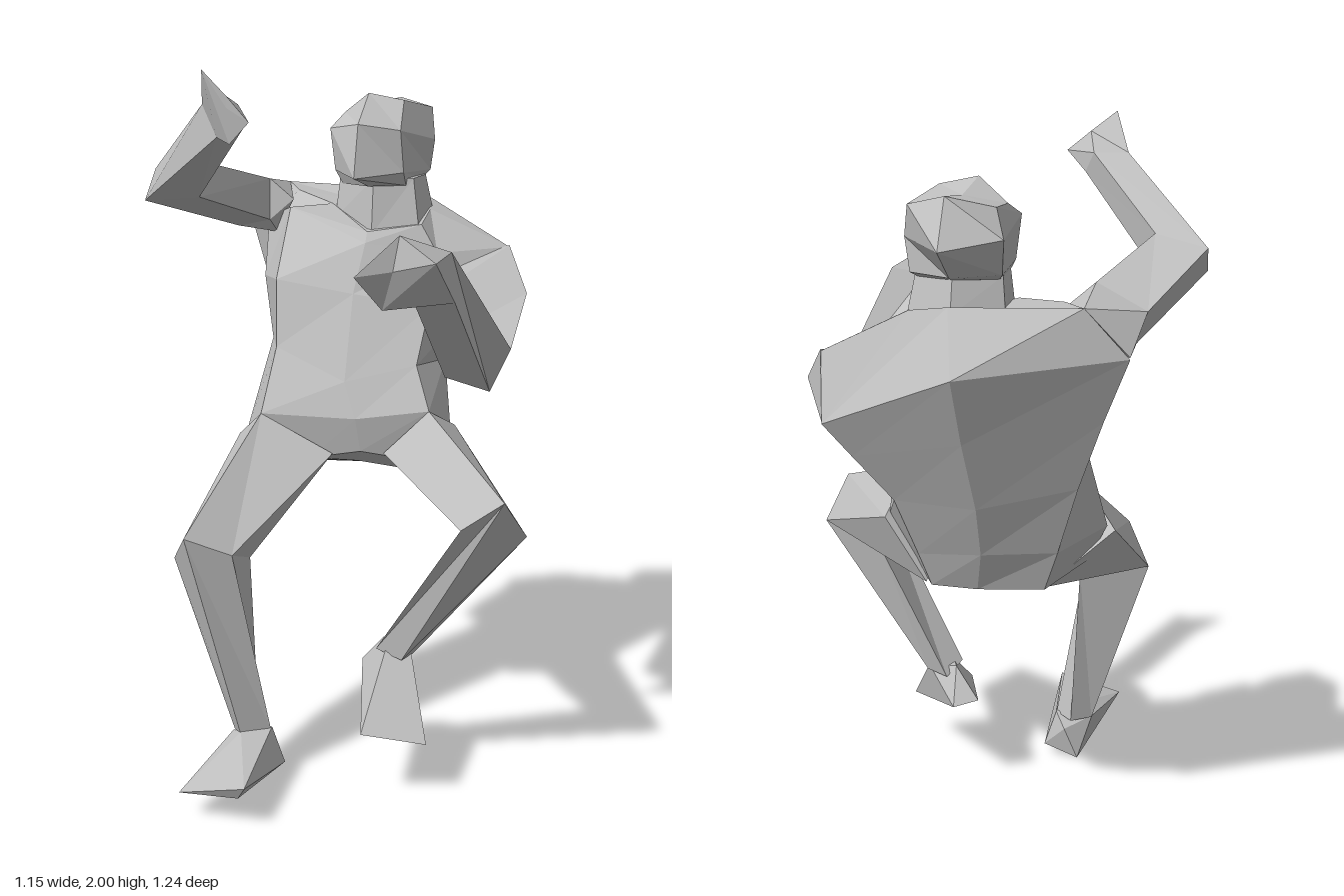
import * as THREE from 'three';
import { ConvexGeometry } from 'three/addons/geometries/ConvexGeometry.js';

// Skin a stack of cross-sections (rings of [x, y, z] corners) into a closed solid
function loft(rings) {
  const n = rings[0].length, pos = [];
  const middle = (ring) => [0, 1, 2].map((k) => ring.reduce((s, p) => s + p[k], 0) / n);
  const first = middle(rings[0]), last = middle(rings[rings.length - 1]);
  let tris = [];
  for (let i = 0; i < n; i++) {
    const j = (i + 1) % n;
    for (let r = 0; r < rings.length - 1; r++) {
      const a = rings[r], b = rings[r + 1];
      tris.push([a[i], b[i], a[j]], [a[j], b[i], b[j]]);
    }
    tris.push([first, rings[0][i], rings[0][j]]);
    tris.push([last, rings[rings.length - 1][j], rings[rings.length - 1][i]]);
  }
  // Turn all faces outward, whichever way the rings run
  const v = (p) => new THREE.Vector3(...p);
  const volume = tris.reduce((s, [a, b, c]) => s + v(a).dot(v(b).cross(v(c))), 0);
  if (volume < 0) tris = tris.map(([a, b, c]) => [a, c, b]);
  tris.forEach((t) => t.forEach((p) => pos.push(...p)));
  const g = new THREE.BufferGeometry();
  g.setAttribute('position', new THREE.Float32BufferAttribute(pos, 3));
  g.computeVertexNormals();
  return g;
}

const hull = (points) => new ConvexGeometry(points.map((p) => new THREE.Vector3(...p)));

export function createModel() {
  const model = new THREE.Group();
  model.name = 'figure';
  const grey = new THREE.MeshStandardMaterial({ color: 0xc0c0c0 });
  grey.name = 'grey';
  grey.flatShading = true;
  const add = (name, geometry) => {
    const mesh = new THREE.Mesh(geometry, grey);
    mesh.name = name;
    model.add(mesh);
  };

  // Head: base, jaw, brow and crown rings, each starting at the face
  add('head', loft([
    [[0.02, 1.64, -0.21], [0.12, 1.64, -0.26], [0.14, 1.65, -0.38], [0.04, 1.66, -0.45], [-0.07, 1.65, -0.38], [-0.07, 1.64, -0.26]],
    [[0, 1.67, -0.125], [0.12, 1.68, -0.23], [0.155, 1.67, -0.42], [0.04, 1.67, -0.48], [-0.085, 1.67, -0.42], [-0.09, 1.68, -0.25]],
    [[0, 1.82, -0.17], [0.11, 1.8, -0.23], [0.17, 1.76, -0.41], [0.05, 1.75, -0.57], [-0.1, 1.77, -0.48], [-0.105, 1.8, -0.25]],
    [[0, 1.9, -0.29], [0.1, 1.88, -0.31], [0.15, 1.85, -0.46], [0.05, 1.875, -0.48], [-0.08, 1.85, -0.47], [-0.085, 1.84, -0.34]],
  ]));

  add('neck', loft([
    [[0.03, 1.66, -0.23], [0.14, 1.66, -0.27], [0.15, 1.66, -0.38], [0.04, 1.67, -0.44], [-0.08, 1.66, -0.38], [-0.08, 1.66, -0.27]],
    [[0.03, 1.5, -0.21], [0.16, 1.53, -0.25], [0.17, 1.55, -0.4], [0.04, 1.57, -0.47], [-0.09, 1.56, -0.4], [-0.09, 1.54, -0.25]],
  ]));

  // Torso rings run: front, front left, left, back left, back, back right, right, front right
  const collar = [[0.02, 1.51, -0.2], [0.17, 1.53, -0.25], [0.17, 1.56, -0.36], [0.15, 1.58, -0.46],
    [0.04, 1.6, -0.5], [-0.305, 1.61, -0.495], [-0.24, 1.6, -0.38], [-0.1, 1.58, -0.26]];
  const shoulders = [[0.02, 1.48, -0.18], [0.22, 1.45, -0.24], [0.4, 1.45, -0.41], [0.38, 1.275, -0.49],
    [0.01, 1.44, -0.62], [-0.42, 1.48, -0.475], [-0.33, 1.52, -0.36], [-0.24, 1.56, -0.29]];
  const chest = [[0, 1.34, -0.12], [0.22, 1.31, -0.15], [0.31, 1.29, -0.34], [0.31, 1.18, -0.455],
    [0, 1.25, -0.535], [-0.35, 1.3, -0.43], [-0.325, 1.35, -0.3], [-0.235, 1.37, -0.13]];
  const waist = [[0, 1.1, -0.03], [0.2, 1.15, -0.08], [0.24, 1.13, -0.28], [0.21, 1.05, -0.41],
    [-0.02, 1.05, -0.45], [-0.28, 1.1, -0.38], [-0.285, 1.17, -0.25], [-0.22, 1.18, -0.08]];
  const hips = [[0.04, 1, 0], [0.25, 1.03, -0.03], [0.27, 0.95, -0.22], [0.16, 0.88, -0.35],
    [-0.02, 0.9, -0.385], [-0.22, 0.9, -0.33], [-0.33, 0.92, -0.14], [-0.24, 1, 0.01]];
  const seat = [[0.05, 0.9, -0.02], [0.17, 0.88, -0.05], [0.2, 0.8, -0.2], [0.13, 0.78, -0.32],
    [0, 0.78, -0.33], [-0.18, 0.78, -0.3], [-0.28, 0.82, -0.15], [-0.1, 0.87, -0.02]];
  add('torso', loft([collar, shoulders, chest, waist, hips, seat]));

  // Arm rings run: top outer, bottom outer, bottom inner, top inner
  const rightElbow = [[-0.575, 1.69, -0.06], [-0.57, 1.61, 0.04], [-0.42, 1.62, 0], [-0.43, 1.72, -0.03]];
  const rightWrist = [[-0.325, 1.9, 0.22], [-0.26, 1.82, 0.29], [-0.2, 1.84, 0.25], [-0.23, 1.9, 0.2]];
  add('rightUpperArm', loft([
    [[-0.305, 1.61, -0.495], [-0.42, 1.485, -0.475], [-0.29, 1.48, -0.32], [-0.24, 1.58, -0.32]],
    [[-0.45, 1.58, -0.365], [-0.42, 1.49, -0.34], [-0.305, 1.52, -0.29], [-0.31, 1.64, -0.31]], rightElbow]));
  add('rightForearm', loft([rightElbow, rightWrist]));
  add('rightHand', loft([rightWrist,
    [[-0.275, 2, 0.355], [-0.2, 1.81, 0.36], [-0.12, 1.875, 0.435], [-0.195, 1.937, 0.392]]]));

  const leftElbow = [[0.485, 1.23, -0.01], [0.42, 1.095, -0.05], [0.31, 1.15, 0.04], [0.31, 1.26, 0]];
  const leftForearmTop = [[0.485, 1.23, -0.01], [0.42, 1.095, -0.05], [0.31, 1.15, 0.04], [0.32, 1.315, 0.025]];
  const leftWrist = [[0.375, 1.54, 0.27], [0.39, 1.41, 0.29], [0.28, 1.42, 0.31], [0.28, 1.52, 0.3]];
  add('leftUpperArm', loft([
    [[0.4, 1.455, -0.41], [0.38, 1.275, -0.485], [0.27, 1.27, -0.36], [0.25, 1.42, -0.28]],
    [[0.48, 1.34, -0.27], [0.42, 1.21, -0.31], [0.3, 1.25, -0.28], [0.3, 1.39, -0.24]], leftElbow]));
  add('leftForearm', loft([leftForearmTop, leftWrist]));
  add('leftHand', loft([leftWrist,
    [[0.37, 1.535, 0.43], [0.22, 1.4, 0.39], [0.17, 1.5, 0.485], [0.27, 1.6, 0.41]]]));

  // Leg rings run: top (front), outer, bottom (back), inner
  const rightKnee = [[-0.33, 0.74, 0.42], [-0.405, 0.64, 0.3], [-0.205, 0.635, 0.225], [-0.215, 0.68, 0.35]];
  add('rightThigh', loft([
    [[-0.24, 1, 0.01], [-0.35, 0.9, -0.12], [-0.18, 0.78, -0.28], [-0.03, 0.89, -0.01]], rightKnee]));
  add('rightShin', loft([rightKnee,
    [[-0.2, 0.14, 0.34], [-0.24, 0.13, 0.28], [-0.18, 0.13, 0.24], [-0.13, 0.14, 0.28]]]));
  add('rightFoot', hull([[-0.24, 0.13, 0.29], [-0.13, 0.145, 0.27], [-0.2, 0.15, 0.34], [-0.16, 0.1, 0.24],
    [-0.2, 0, 0.25], [-0.095, 0.035, 0.26], [-0.29, 0.075, 0.6], [-0.095, 0.12, 0.62], [-0.12, 0.08, 0.6]]));

  const leftKnee = [[0.535, 0.88, 0.3], [0.58, 0.76, 0.2], [0.38, 0.725, 0.085], [0.415, 0.79, 0.29]];
  add('leftThigh', loft([
    [[0.25, 1.03, -0.03], [0.28, 0.94, -0.24], [0.15, 0.78, -0.3], [0.12, 0.9, -0.02]], leftKnee]));
  add('leftShin', loft([leftKnee,
    [[0.22, 0.34, 0.15], [0.24, 0.34, 0.09], [0.17, 0.34, 0.04], [0.14, 0.36, 0.13]]]));
  add('leftFoot', hull([[0.145, 0.37, 0.06], [0.24, 0.345, 0.11], [0.17, 0.36, 0.14], [0.07, 0.28, 0.02],
    [0.14, 0.265, -0.01], [0.16, 0.2, 0.37], [0.33, 0.16, 0.3]]));

  return model;
}
